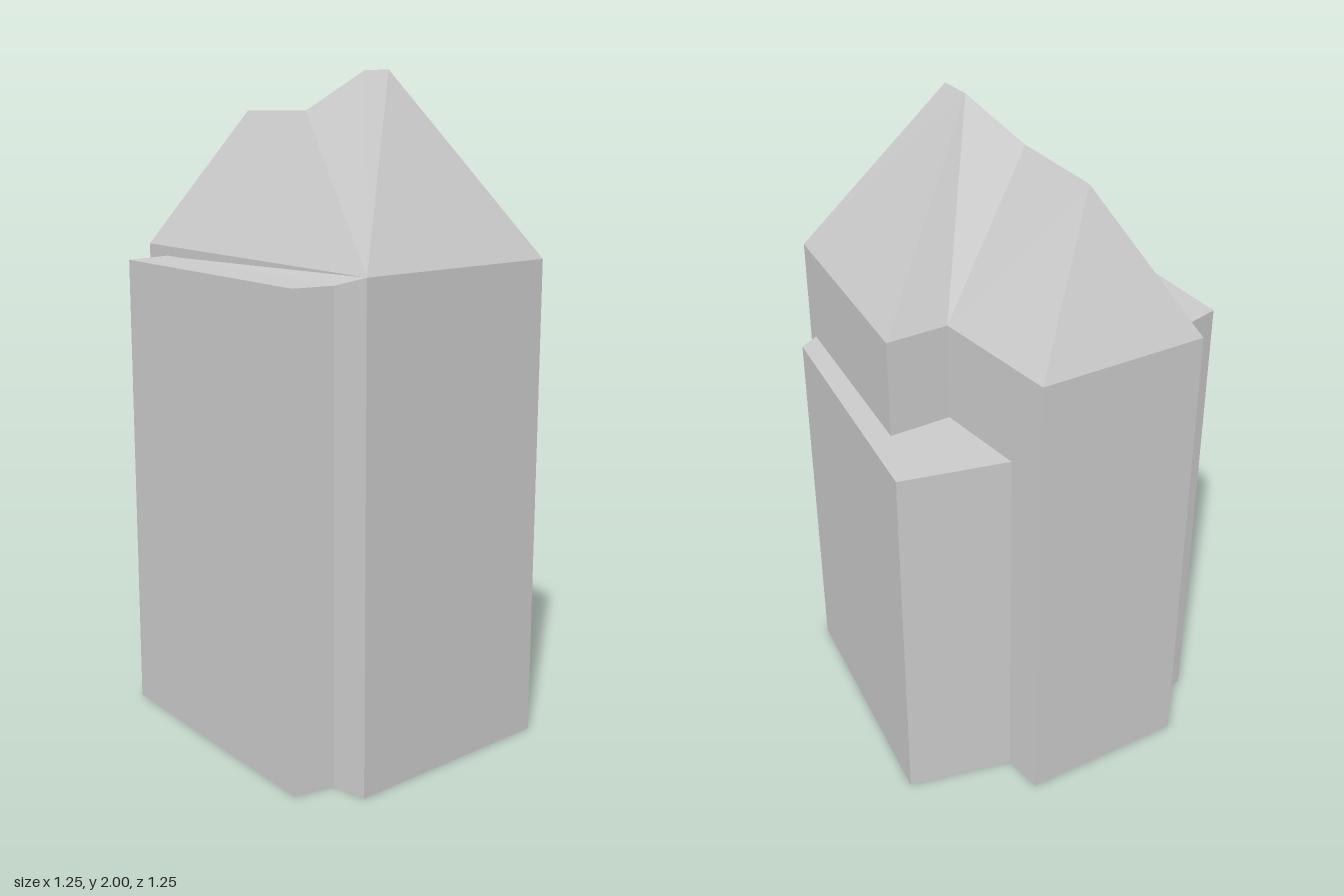
import * as THREE from 'three';

const material = new THREE.MeshStandardMaterial({ color: 0xcccccc, flatShading: true });

// Upright prism over a footprint of [x, z] corners
function prism(name, corners, height) {
  const shape = new THREE.Shape(corners.map(([x, z]) => new THREE.Vector2(x, -z)));
  const geometry = new THREE.ExtrudeGeometry(shape, { depth: height, bevelEnabled: false });
  geometry.rotateX(-Math.PI / 2);
  const mesh = new THREE.Mesh(geometry, material);
  mesh.name = name;
  return mesh;
}

// Flat facets given as lists of named corners
function facets(name, points, faces) {
  const positions = [];
  for (const face of faces) {
    for (let i = 1; i < face.length - 1; i++) {
      for (const key of [face[0], face[i], face[i + 1]]) positions.push(...points[key]);
    }
  }
  const geometry = new THREE.BufferGeometry();
  geometry.setAttribute('position', new THREE.Float32BufferAttribute(positions, 3));
  geometry.computeVertexNormals();
  const mesh = new THREE.Mesh(geometry, material);
  mesh.name = name;
  return mesh;
}

export function createModel() {
  const model = new THREE.Group();
  model.name = 'crystalColumn';

  const eaves = 1.465, leftTop = 1.435, rightTop = 1.165;
  const outline = {
    A: [-0.595, -0.262], B: [0.122, 0.624], C: [0.623, 0.152],
    D: [0.25, -0.408], E: [0.103, -0.29], F: [-0.193, -0.575],
  };

  // Main column with a notch at the back
  model.add(prism('mainColumn', Object.values(outline), eaves));

  // Faceted tip: lower ridge P-V, upper ridge Q-R
  const tip = { P: [-0.27, 1.885, -0.243], V: [-0.073, 1.885, 0], Q: [0.102, 2, 0.063], R: [0.172, 2, 0.142] };
  for (const [key, [x, z]] of Object.entries(outline)) tip[key] = [x, eaves, z];
  model.add(facets('facetedTip', tip, [
    'ABV', 'AVP', 'BQV', 'BRQ', 'BCR', 'CDQR', 'EVQD', 'EFPV', 'FAP',
  ]));

  // Lower side columns
  model.add(prism('frontSideColumn', [
    [-0.623, -0.046], [-0.073, 0.622], [0.035, 0.555], [-0.48, -0.115], [-0.523, -0.175],
  ], leftTop));
  model.add(prism('backSideColumn', [
    [0.596, 0.112], [0.623, 0.044], [0.192, -0.624], [-0.102, -0.487], outline.E, outline.D,
  ], rightTop));

  // Narrow wall and sloping sliver joining the front column to the main one
  model.add(facets('joiningWedge', {
    S: [-0.48, leftTop, -0.115], T: [0.035, leftTop, 0.555], B: tip.B,
    t: [0.035, 0, 0.555], b: [0.122, 0, 0.624], s: [-0.48, 0, -0.115],
  }, ['STB', 'tbBT', 'tsb']));

  return model;
}
